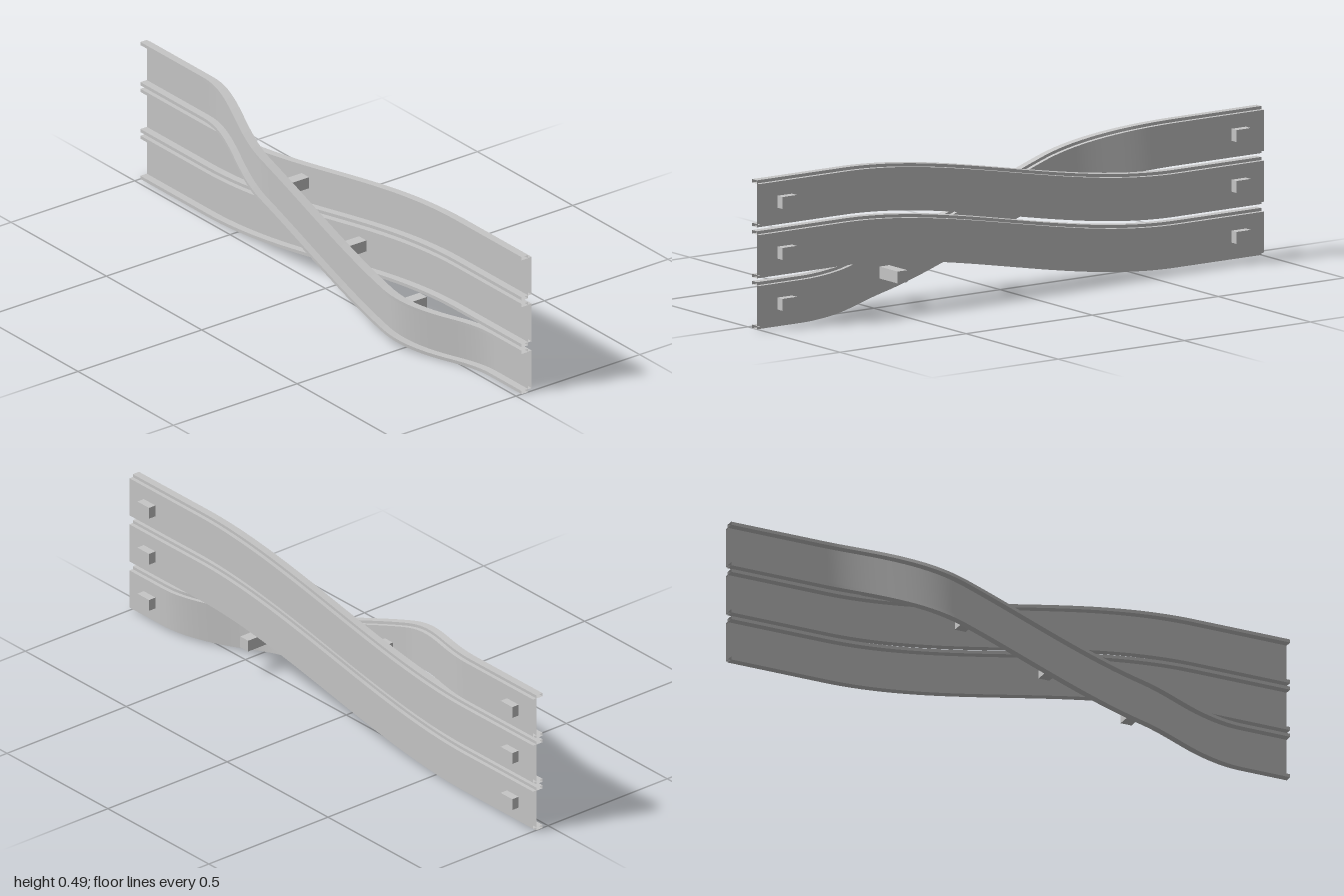
import * as THREE from 'three';

// the lanes are open at their ends, so both sides show
const grey = new THREE.MeshStandardMaterial({ color: 0xc6c6c6, side: THREE.DoubleSide });
grey.name = 'track grey';

// lane centre heights
const LOW = 0.077, MID = 0.2435, TOP = 0.41;

// smooth step from 0 at a to 1 at b
const ease = (x, a, b) => THREE.MathUtils.smoothstep(x, a, b);

// lane section as [z, y]: a back plate with a lip along each edge
const lower = [[-0.063, -0.067], [-0.049, -0.067], [-0.049, -0.077],
  [-0.023, -0.077], [-0.023, -0.066], [-0.049, -0.066]];
const section = [...lower, ...lower.map(([z, y]) => [z, -y]).reverse()];

// sweep the section along x; height(x) and depth(x) shift each ring
function lane(name, height, depth) {
  const pos = [], idx = [], steps = 80, n = section.length;
  const point = (x, [z, y]) => pos.push(x, y + height(x), z + depth(x));
  // one strip per section edge: smooth along the lane, sharp across it
  for (let j = 0; j < n; j++) {
    const base = pos.length / 3;
    for (let i = 0; i <= steps; i++) {
      const x = -1 + 2 * i / steps;
      point(x, section[j]);
      point(x, section[(j + 1) % n]);
      if (i < steps) {
        const a = base + 2 * i;
        idx.push(a, a + 2, a + 1, a + 1, a + 2, a + 3);
      }
    }
  }
  const geo = new THREE.BufferGeometry();
  geo.setAttribute('position', new THREE.Float32BufferAttribute(pos, 3));
  geo.setIndex(idx);
  geo.computeVertexNormals();
  const mesh = new THREE.Mesh(geo, grey);
  mesh.name = name;
  return mesh;
}

// block between two depths
function block(name, x, y, w, h, z0, z1) {
  const mesh = new THREE.Mesh(new THREE.BoxGeometry(w, h, z1 - z0), grey);
  mesh.position.set(x, y, (z0 + z1) / 2);
  mesh.name = name;
  return mesh;
}

export function createModel() {
  const model = new THREE.Group();
  model.name = 'laneChangeTrack';

  // two lanes that climb one place
  const flat = () => 0;
  model.add(lane('lowerRisingLane', (x) => LOW + (MID - LOW) * ease(x, -0.66, 0.66), flat));
  model.add(lane('upperRisingLane', (x) => MID + (TOP - MID) * ease(x, -0.66, 0.66), flat));

  // lane that drops from top to bottom, bridging in front of the others
  const drop = (x) => TOP + (LOW - TOP) * ease(x, -0.67, 0.67);
  const bridge = (x) => 0.113 * (ease(x, -0.67, -0.22) - ease(x, 0.42, 0.83));
  model.add(lane('crossingLane', drop, bridge));

  // posts behind the bridge
  for (const x of [-0.168, 0.132, 0.432]) {
    model.add(block('bridgeSupport', x, drop(x), 0.039, 0.039, -0.0625, 0.037));
  }

  // mounting pegs on the back of each lane end
  for (const x of [-0.9, 0.9]) {
    for (const y of [LOW, MID, TOP]) {
      model.add(block('mountingPeg', x, y + 0.001, 0.058, 0.039, -0.09, -0.063));
    }
  }
  return model;
}
